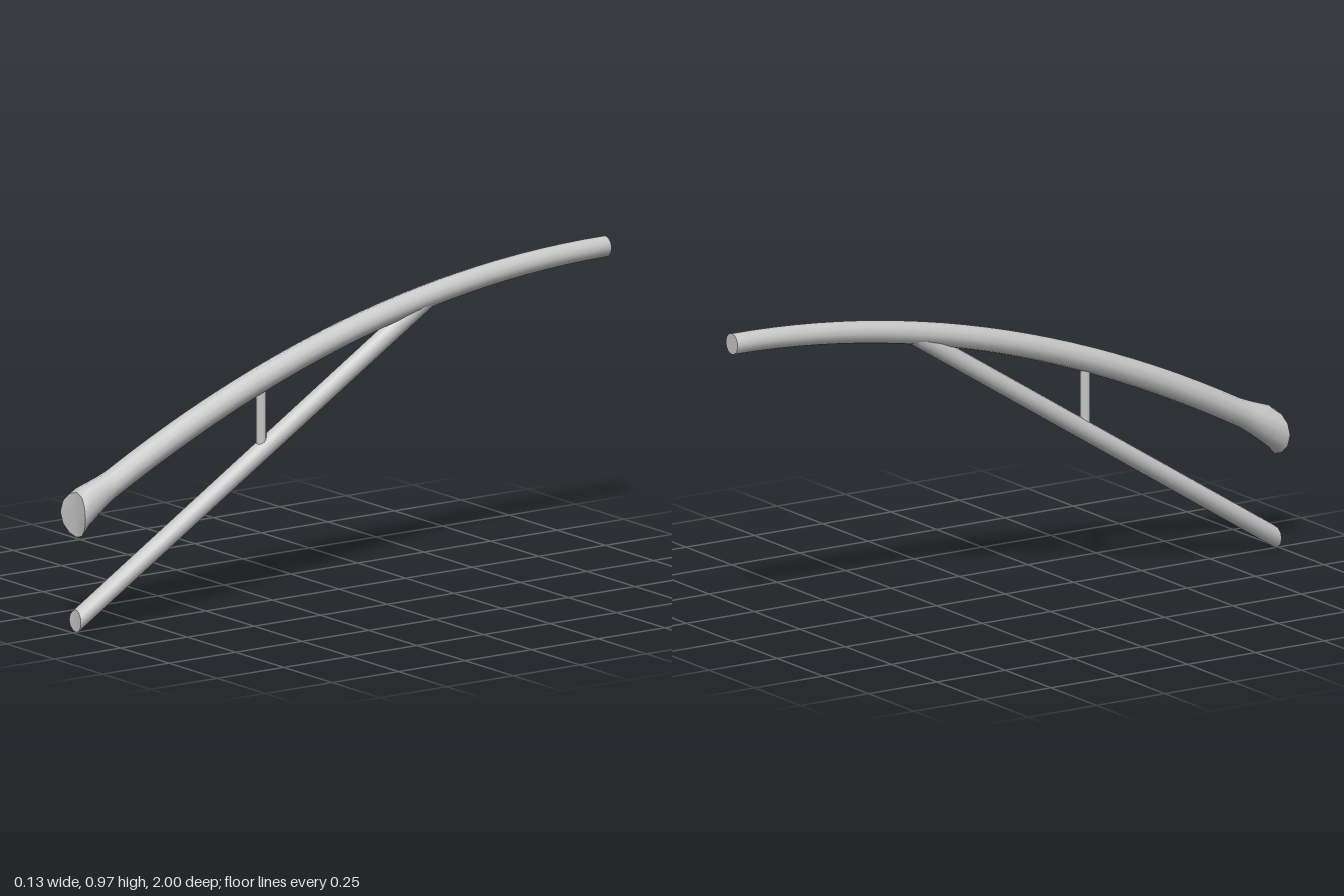
import * as THREE from 'three';

const SIDES = 12;
const steel = new THREE.MeshStandardMaterial({ color: 0xc8c8c8 });
steel.name = 'light grey steel';

// Tube running front to back: each section is { z, y, rx, ry, cope }, cut in an upright plane.
// cope pulls the middle of a section back so it fits round an upright post.
function sweptTube(name, sections) {
  const pos = [], index = [];
  const ring = (s) => {
    const start = pos.length / 3;
    for (let j = 0; j < SIDES; j++) {
      const t = (j / SIDES) * Math.PI * 2;
      const z = s.z - (s.cope || 0) * Math.cos(t) ** 2;
      pos.push(s.rx * Math.sin(t), s.y + s.ry * Math.cos(t), z);
    }
    return start;
  };
  const rings = sections.map(ring);
  for (let i = 0; i < rings.length - 1; i++) {
    for (let j = 0; j < SIDES; j++) {
      const k = (j + 1) % SIDES;
      const a = rings[i] + j, b = rings[i] + k, c = rings[i + 1] + j, d = rings[i + 1] + k;
      index.push(a, b, c, b, d, c);
    }
  }
  // End caps have their own vertices so the rims stay sharp
  const cap = (s, front) => {
    const start = ring(s), centre = pos.length / 3;
    pos.push(0, s.y, s.z - (s.cope || 0));
    for (let j = 0; j < SIDES; j++) {
      const a = start + j, b = start + ((j + 1) % SIDES);
      if (front) index.push(centre, b, a);
      else index.push(centre, a, b);
    }
  };
  cap(sections[0], true);
  cap(sections[sections.length - 1], false);

  const geo = new THREE.BufferGeometry();
  geo.setAttribute('position', new THREE.Float32BufferAttribute(pos, 3));
  geo.setIndex(index);
  geo.computeVertexNormals();
  const mesh = new THREE.Mesh(geo, steel);
  mesh.name = name;
  return mesh;
}

// Centre line and thickness of the arched tube
const archY = (z) => 0.935 - 0.142 * (z + 1) ** 2;
const archSlope = (z) => 0.284 * (z + 1);
function archRadius(z) {
  const body = THREE.MathUtils.lerp(0.033, 0.041, THREE.MathUtils.clamp((z + 1) / 1.6, 0, 1));
  const flare = THREE.MathUtils.clamp((z - 0.86) / 0.14, 0, 1);
  return body + 0.024 * flare ** 1.25;
}

export function createModel() {
  const group = new THREE.Group();
  group.name = 'bracedArchTube';

  // Arched main tube with flared front end
  const zs = [1, 0.965, 0.93, 0.895, 0.86];
  for (let i = 1; i <= 24; i++) zs.push(0.86 - (1.86 * i) / 24);
  group.add(sweptTube('archedTube', zs.map((z) => {
    const rx = archRadius(z);
    const stretch = z > 0.98 ? 1.08 : Math.hypot(1, archSlope(z));
    return { z, y: archY(z), rx, ry: rx * stretch, cope: z === 1 ? 0.014 : 0 };
  })));

  // Straight lower brace meeting the arch from below
  group.add(sweptTube('lowerBrace', [
    { z: 0.992, y: 0.035, rx: 0.03, ry: 0.035, cope: 0.004 },
    { z: -0.35, y: 0.876, rx: 0.03, ry: 0.035 },
  ]));

  // Small upright post between brace and arch
  const post = new THREE.Mesh(new THREE.CylinderGeometry(0.016, 0.016, 0.2, SIDES), steel);
  post.position.set(0, 0.585, 0.293);
  post.name = 'uprightPost';
  group.add(post);

  return group;
}
